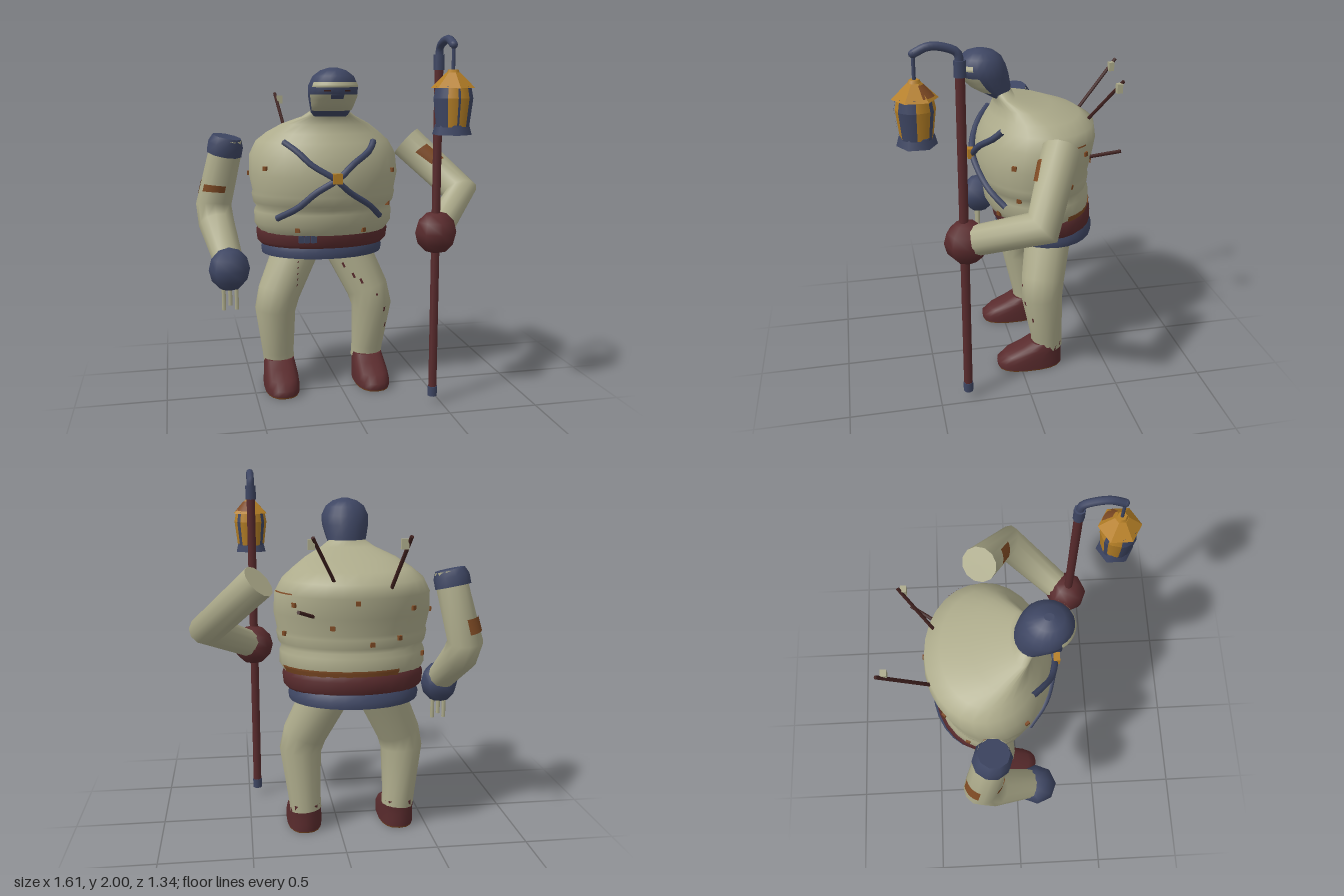
import * as THREE from 'three';

const V = (x, y, z) => new THREE.Vector3(x, y, z);
const UP = V(0, 1, 0);
const CX = -0.075; // body centre line

// Horizontal oval section: angle 0 faces front, positive angles turn to +x
const oval = (cx, y, rx, zb, zf, p = 1) => (a, off = 0) => {
  const pw = v => Math.sign(v) * Math.abs(v) ** p;
  return V(cx + (rx + off) * pw(Math.sin(a)), y, (zb + zf) / 2 + ((zf - zb) / 2 + off) * pw(Math.cos(a)));
};

// Round mitred sections along a path of [x, y, z, radius]
const limbSections = pts => pts.map((p, i) => {
  const at = k => V(...pts[Math.max(0, Math.min(pts.length - 1, k))].slice(0, 3));
  const dir = at(i + 1).sub(at(i)).normalize().add(at(i).sub(at(i - 1)).normalize()).normalize();
  const q = new THREE.Quaternion().setFromUnitVectors(UP, dir);
  return (a, off = 0) => V(Math.sin(a), 0, Math.cos(a)).multiplyScalar(p[3] + off).applyQuaternion(q).add(at(i));
});

// Point on a lofted surface at fractional section s
const surf = (sec, s, a, off = 0) => {
  const k = Math.min(sec.length - 2, Math.floor(s));
  return sec[k](a, off).lerp(sec[k + 1](a, off), s - k);
};

// Joins rows of points; closed rows also get flat end caps
function skin(rows, closed) {
  const n = rows[0].length, pos = [], idx = [];
  const add = r => { r.forEach(p => pos.push(p.x, p.y, p.z)); return pos.length / 3 - r.length; };
  rows.forEach(add);
  for (let i = 0; i < rows.length - 1; i++) {
    for (let j = 0; j < (closed ? n : n - 1); j++) {
      const a = i * n + j, b = i * n + (j + 1) % n;
      idx.push(a, b, b + n, a, b + n, a + n);
    }
  }
  if (closed) [rows[0], rows[rows.length - 1]].forEach((r, e) => {
    const c = r.reduce((m, p) => m.add(p), V(0, 0, 0)).divideScalar(n);
    const s = add(r), m = add([c]);
    for (let j = 0; j < n; j++) {
      const k = s + (j + 1) % n;
      if (e) idx.push(s + j, k, m); else idx.push(k, s + j, m);
    }
  });
  const g = new THREE.BufferGeometry();
  g.setAttribute('position', new THREE.Float32BufferAttribute(pos, 3));
  g.setIndex(idx);
  g.computeVertexNormals();
  return g;
}
const loft = (sec, sides) => skin(sec.map(f => Array.from({ length: sides }, (_, j) => f(j / sides * Math.PI * 2))), true);

// Thin painted piece of a lofted surface
const patch = (sec, s0, s1, a0, a1, off = 0.006, nu = 6, nv = 10) => skin(
  Array.from({ length: nu + 1 }, (_, i) => Array.from({ length: nv + 1 }, (_, j) =>
    surf(sec, s0 + (s1 - s0) * i / nu, a0 + (a1 - a0) * j / nv, off))), false);

export function createModel() {
  const root = new THREE.Group();
  const mat = (name, color, side = THREE.FrontSide) => Object.assign(new THREE.MeshStandardMaterial({ color, side }), { name });
  const cream = mat('cream cloth', 0xaeac8c), blue = mat('slate blue', 0x3e4663), red = mat('dark red leather', 0x592b2d);
  const amber = mat('amber glass', 0xb57f26), brown = mat('rust brown', 0x7e4a24, THREE.DoubleSide), dark = mat('dark wood', 0x40211f);
  const put = (name, geo, m, x = 0, y = 0, z = 0) => {
    const o = new THREE.Mesh(geo, m);
    o.name = name;
    o.position.set(x, y, z);
    root.add(o);
    return o;
  };
  const rod = (name, a, b, r, m, sides = 6) => {
    const d = b.clone().sub(a);
    const o = put(name, new THREE.CylinderGeometry(r, r, d.length(), sides), m, ...a.clone().add(b).multiplyScalar(0.5));
    o.quaternion.setFromUnitVectors(UP, d.normalize());
    return o;
  };

  // Hunched torso with two folds
  const torso = [[0.93, 0.37, -0.43, 0.12], [0.98, 0.4, -0.44, 0.15], [1.05, 0.4, -0.44, 0.16], [1.075, 0.388, -0.42, 0.155],
    [1.1, 0.405, -0.43, 0.18], [1.15, 0.415, -0.435, 0.19], [1.17, 0.41, -0.43, 0.19], [1.26, 0.428, -0.45, 0.205],
    [1.37, 0.422, -0.47, 0.18], [1.44, 0.385, -0.46, 0.145], [1.49, 0.325, -0.38, 0.115], [1.54, 0.25, -0.22, 0.095],
    [1.585, 0.15, -0.02, 0.1], [1.62, 0.1, 0, 0.13]].map(p => oval(CX, ...p));
  put('torso', loft(torso, 28), cream);
  put('backStain', patch(torso, 0.4, 1.1, 1.9, 3.7), brown);
  put('sideScratch', patch(torso, 8.1, 8.2, 1.7, 2.2), brown);

  // Belt, hem and belt pouches
  const belt = [[0.85, 0.36, -0.43, 0.08], [0.87, 0.38, -0.455, 0.1], [0.93, 0.387, -0.455, 0.11], [0.96, 0.37, -0.44, 0.1]].map(p => oval(CX, ...p));
  put('belt', loft(belt, 28), red);
  const hem = [[0.79, 0.352, -0.468, 0.08], [0.825, 0.358, -0.47, 0.085], [0.86, 0.34, -0.45, 0.07]].map(p => oval(CX, ...p));
  put('hem', loft(hem, 28), blue);
  for (let i = 0; i < 3; i++) put('beltPouch', new THREE.BoxGeometry(0.03, 0.04, 0.03), blue, -0.24 + i * 0.034, 0.91, 0.08 + i * 0.006);

  // Hooded head with a painted face and dark eye band
  const head = [[1.585, 0.1, 0, 0.12], [1.64, 0.117, 0, 0.22], [1.7, 0.132, 0.01, 0.28], [1.75, 0.134, 0.025, 0.295],
    [1.8, 0.11, 0.05, 0.275], [1.83, 0.07, 0.09, 0.24], [1.845, 0.02, 0.14, 0.19]].map(p => oval(CX, ...p));
  put('hood', loft(head, 20), blue);
  put('lowerFace', patch(head, 0.6, 2.1, -1.25, 1.25, 0.004), cream);
  put('brow', patch(head, 2.85, 3.4, -1.1, 1.1, 0.004), cream);
  put('noseGuard', patch(head, 1.7, 2.15, -0.25, 0.25, 0.007), blue);
  for (const s of [-1, 1]) put('eye', patch(head, 2.4, 2.55, s * 0.4 - 0.13, s * 0.4 + 0.13, 0.005), dark);

  // Crossed chest straps and buckle
  const ys = [1.03, 1.1, 1.18, 1.26, 1.33, 1.4, 1.45];
  const tops = [1, 4, 6.1, 7, 7.65, 8.45, 9.1];
  for (const s of [-1, 1]) {
    const pts = ys.map((y, i) => {
      const off = s * (y - 1.25) * 1.3 + (i % 2 ? 0.008 : -0.008);
      return surf(torso, tops[i], Math.asin(off / 0.41), 0.014).setY(y);
    });
    put('chestStrap', new THREE.TubeGeometry(new THREE.CatmullRomCurve3(pts), 18, 0.018, 6), blue);
  }
  put('buckle', new THREE.BoxGeometry(0.05, 0.055, 0.035), amber, -0.065, 1.26, 0.23);

  // Studs scattered round the torso
  for (const [s, a] of [[7.4, -0.98], [7.2, 1], [3.6, 1.05], [0.7, -0.5], [0.5, 0.5], [7.6, 2.25], [5.5, 2], [7.8, 3.1],
    [6.5, 2.8], [7.4, -2.4], [5, -2.6], [7, -1.7], [1.8, -2], [4.5, 3.3]]) {
    const p = surf(torso, s, a);
    put('stud', new THREE.BoxGeometry(0.024, 0.024, 0.02), brown, p.x, p.y, p.z).rotation.y = a;
  }

  // Sticks in the back, two with tags
  for (const [a, b, tag] of [[V(-0.235, 1.42, -0.43), V(-0.28, 1.7, -0.665), 1], [V(0.05, 1.44, -0.4), V(0.18, 1.69, -0.56), 1],
    [V(0.15, 1.265, -0.37), V(0.25, 1.325, -0.54), 0]]) {
    rod('backStick', a, b, 0.01, dark);
    const t = a.clone().lerp(b, 0.88);
    if (tag) put('stickTag', new THREE.BoxGeometry(0.035, 0.05, 0.03), cream, t.x + 0.02, t.y - 0.005, t.z + 0.005);
  }

  // Legs, boots and soles
  for (const s of [-1, 1]) {
    const x = d => CX + s * d;
    const leg = limbSections([[x(0.265), 0.12, -0.165, 0.09], [x(0.272), 0.2, -0.16, 0.093], [x(0.29), 0.46, -0.125, 0.118],
      [x(0.265), 0.56, -0.135, 0.123], [x(0.135), 0.84, -0.2, 0.135]]);
    put('leg', loft(leg, 14), cream);
    const marks = s < 0 ? [[3.6, 0.1], [3.5, 0.2], [3.4, 0.3], [3.3, 0.4], [3.2, 0.5]] : [[3.55, -0.7], [3.15, -0.3], [2.6, 0.15], [1.9, 0.4], [1.5, 0.7], [3.3, -0.5]];
    for (const [t, a] of marks) {
      const w = s < 0 ? 0.04 : 0.1;
      put('legStitch', patch(leg, t, t + (s < 0 ? 0.04 : 0.1), a, a + w, 0.005, 1, 2), red);
    }
    const b = x(0.268);
    const boot = [[0.008, 0.1, -0.25, 0.13], [0.045, 0.1, -0.25, 0.135], [0.085, 0.097, -0.248, 0.09],
      [0.125, 0.092, -0.247, 0], [0.16, 0.086, -0.25, -0.06]].map(p => oval(b, ...p, 0.8));
    put('boot', loft(boot, 18), red);
    put('sole', loft([oval(b, 0, 0.097, -0.247, 0.127, 0.8), oval(b, 0.008, 0.1, -0.25, 0.13, 0.8)], 18), brown);
  }

  // Right arm hanging, with shoulder cap, mitten and fingers
  const armR = limbSections([[-0.64, 0.8, 0.07, 0.08], [-0.69, 0.98, -0.14, 0.1], [-0.7, 1.08, -0.2, 0.1], [-0.635, 1.37, -0.14, 0.092], [-0.62, 1.46, -0.125, 0.085]]);
  put('rightArm', loft(armR, 12), cream);
  put('rightShoulderCap', loft(limbSections([[-0.638, 1.375, -0.14, 0.1], [-0.628, 1.43, -0.13, 0.1], [-0.62, 1.47, -0.125, 0.082]]), 10), blue);
  put('rightArmStain', patch(armR, 2.25, 2.4, -0.9, 0.4), brown);
  put('rightArmBackStain', patch(armR, 2.2, 2.45, 3.3, 4.4), brown);
  put('rightMitten', new THREE.SphereGeometry(0.112, 8, 6), blue, -0.64, 0.765, 0.1).scale.y = 1.08;
  for (const [x, y] of [[-0.675, 0.54], [-0.64, 0.565], [-0.605, 0.54]]) rod('finger', V(x, y, 0.11), V(x, 0.67, 0.11), 0.012, cream);

  // Left arm bent round to the staff
  const armL = limbSections([[0.48, 0.985, 0.3, 0.08], [0.715, 1.14, 0.0, 0.1], [0.43, 1.425, -0.16, 0.1]]);
  put('leftArm', loft(armL, 12), cream);
  put('leftArmStain', patch(armL, 1.45, 1.75, -0.5, 0.35), brown);
  put('leftFist', new THREE.SphereGeometry(0.117, 8, 6), red, 0.455, 0.97, 0.335);

  // Staff with curved hook
  const X = 0.45, Z = 0.345, LZ = 0.56;
  rod('staff', V(X, 0.08, Z), V(X, 1.85, Z), 0.024, red, 8);
  rod('staffFoot', V(X, 0.045, Z), V(X, 0.1, Z), 0.027, blue, 8);
  rod('staffCap', V(X, 1.83, Z), V(X, 1.91, Z), 0.03, blue, 8);
  const hook = new THREE.CatmullRomCurve3([V(X, 1.88, Z), V(X, 1.945, Z + 0.01), V(X, 1.975, 0.42), V(X, 1.98, 0.49), V(X, 1.95, LZ)]);
  put('staffHook', new THREE.TubeGeometry(hook, 14, 0.021, 8), blue);
  put('hookTip', new THREE.SphereGeometry(0.021, 8, 6), blue, X, 1.95, LZ);
  rod('lanternWire', V(X, 1.81, LZ), V(X, 1.95, LZ), 0.009, blue);

  // Lantern: glass, blue panels, hexagonal roof and base
  const cyl = (r1, r2, h, n, t0, t1) => new THREE.CylinderGeometry(r1, r2, h, n, 1, t0 !== undefined, t0, t1);
  put('lanternGlassUpper', cyl(0.085, 0.097, 0.06, 12), amber, X, 1.72, LZ);
  put('lanternGlassLower', cyl(0.097, 0.08, 0.14, 12), amber, X, 1.62, LZ);
  for (const [a, w] of [[1.05, 0.95], [-1.05, 0.95], [0, 0.12], [2.35, 0.25], [-2.35, 0.25]]) {
    put('lanternPanelUpper', cyl(0.09, 0.102, 0.06, 4, a - w / 2, w), blue, X, 1.72, LZ);
    put('lanternPanelLower', cyl(0.102, 0.085, 0.14, 4, a - w / 2, w), blue, X, 1.62, LZ);
  }
  put('lanternRoof', cyl(0.035, 0.112, 0.075, 6).toNonIndexed(), amber, X, 1.777, LZ).geometry.computeVertexNormals();
  put('lanternRoofStain', patch([oval(X, 1.755, 0.09, LZ - 0.09, LZ + 0.09), oval(X, 1.81, 0.04, LZ - 0.04, LZ + 0.04)], 0, 1, 1.9, 2.9, 0.004), brown);
  put('lanternFinial', cyl(0.025, 0.035, 0.02, 6), amber, X, 1.82, LZ);
  put('lanternBase', cyl(0.086, 0.1, 0.05, 6), blue, X, 1.535, LZ);

  return root;
}
